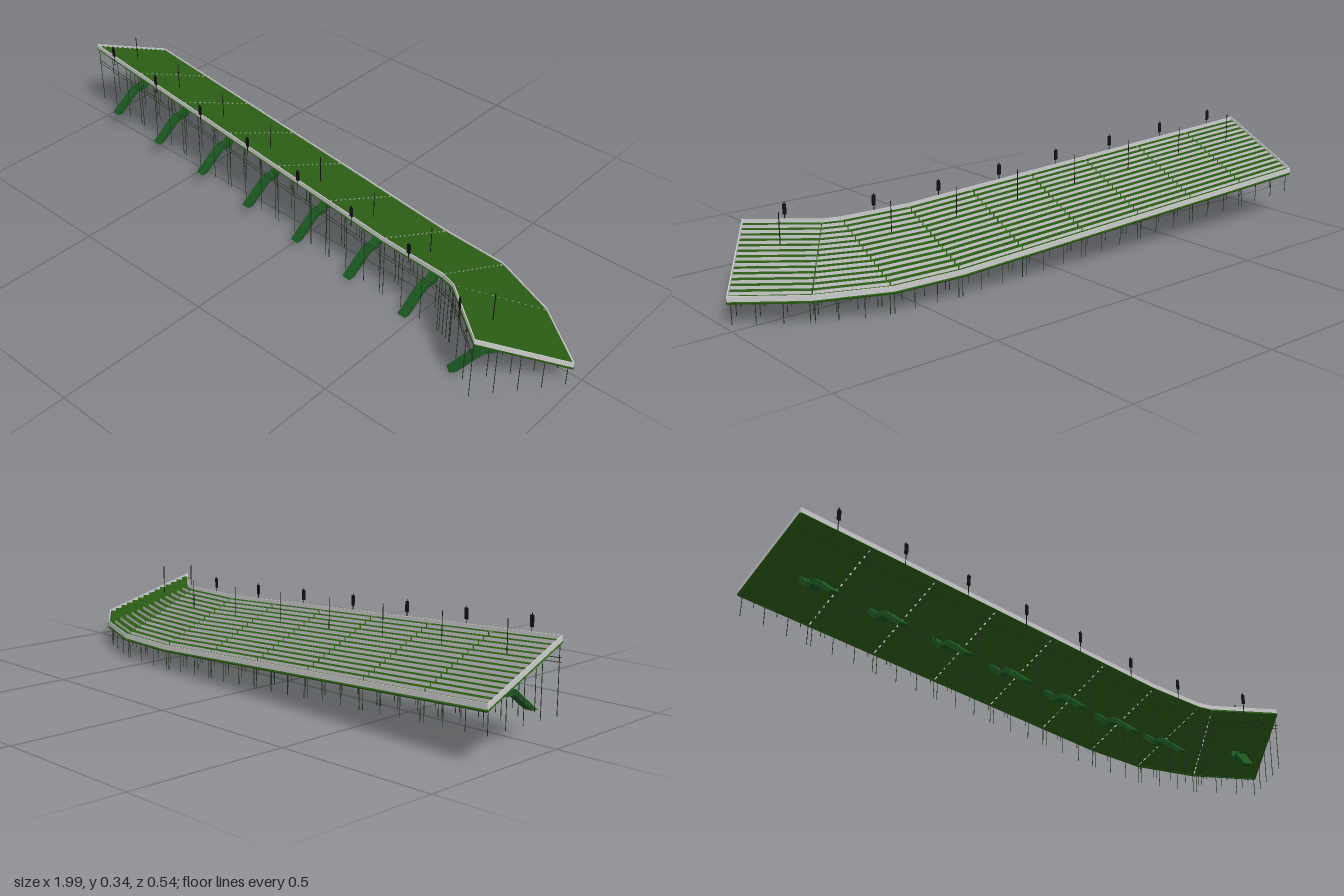
import * as THREE from 'three';

const ROWS = 14, BLOCKS = 7;
const LOW_Y = 0.072, HIGH_Y = 0.203;

const green = new THREE.MeshStandardMaterial({ color: 0x2a5c14, side: THREE.DoubleSide, flatShading: true });
const stairGreen = new THREE.MeshStandardMaterial({ color: 0x1a5520, side: THREE.DoubleSide, flatShading: true });
const grey = new THREE.MeshStandardMaterial({ color: 0xcccccc, side: THREE.DoubleSide, flatShading: true });
const black = new THREE.MeshStandardMaterial({ color: 0x111111 });
const steel = new THREE.MeshStandardMaterial({ color: 0x20301c });

const V = (x, y, z) => new THREE.Vector3(x, y, z);

// Plan of the stand: matching points along its low edge and its high edge
function buildPlan() {
  const low = [], high = [];
  for (let i = 0; i <= BLOCKS; i++) {
    const t = i / BLOCKS, y = 0.084 * Math.max(0, 1 - i / (BLOCKS - 1));
    low.push(V(-0.98, y, -0.272).lerp(V(0.6, y, -0.18), t));
    high.push(V(-0.995, y, 0.012).lerp(V(0.585, y, 0.106), t));
  }
  low.push(V(0.81, 0, -0.096), V(0.988, 0, 0.04));
  high.push(V(0.635, 0, 0.122), V(0.812, 0, 0.265));
  return { low, high };
}

// Mesh made from a list of four-cornered faces
function quads(name, faces, material) {
  const pts = [];
  for (const [a, b, c, d] of faces) pts.push(a, b, c, a, c, d);
  const g = new THREE.BufferGeometry().setFromPoints(pts);
  g.computeVertexNormals();
  const m = new THREE.Mesh(g, material);
  m.name = name;
  return m;
}

// Thin straight bar between two points
function bar(name, a, b, r, material) {
  const m = new THREE.Mesh(new THREE.CylinderGeometry(r, r, a.distanceTo(b), 4), material);
  m.position.copy(a).lerp(b, 0.5);
  m.quaternion.setFromUnitVectors(V(0, 1, 0), b.clone().sub(a).normalize());
  m.name = name;
  return m;
}

// Wall standing between two points, as a thin box
function wall(name, a, b, bottom, top, thick = 0.003) {
  const n = V(b.z - a.z, 0, a.x - b.x).normalize().multiplyScalar(thick / 2);
  const c = (p, s, h) => p.clone().addScaledVector(n, s).add(V(0, h, 0));
  const ring = [[-1, bottom], [1, bottom], [1, top], [-1, top]];
  const A = ring.map(([s, h]) => c(a, s, h)), B = ring.map(([s, h]) => c(b, s, h));
  const faces = [A, B];
  for (let i = 0; i < 4; i++) { const j = (i + 1) % 4; faces.push([A[i], A[j], B[j], B[i]]); }
  return quads(name, faces, grey);
}

// Access stair: lower flight, landing and upper flight, pushed out of a side profile
function stairGeometry() {
  const w = 0.03, t = 0.02;
  const path = [[0.03, 0], [-0.058, 0.07], [-0.09, 0.07], [-0.135, 0.108]];
  const s = new THREE.Shape();
  s.moveTo(...path[0]);
  path.slice(1).forEach(p => s.lineTo(...p));
  [[-0.135, 0.088], [-0.098, 0.056], [-0.064, 0.056]].forEach(p => s.lineTo(...p));
  s.lineTo(0.03 - t, 0);
  const g = new THREE.ExtrudeGeometry(s, { depth: w, bevelEnabled: false });
  g.rotateY(-Math.PI / 2);
  g.translate(w / 2, 0, 0);
  return g;
}

export function createModel() {
  const model = new THREE.Group();
  model.name = 'grandstand';
  const { low, high } = buildPlan();
  const stairs = stairGeometry();

  for (let i = 0; i < low.length - 1; i++) {
    const block = new THREE.Group();
    block.name = 'seatingBlock' + (i + 1);
    model.add(block);
    // Point on the block: u along the rows, v from low to high edge, h above ground
    const at = (u, v, h) => {
      const a = low[i].clone().lerp(low[i + 1], u);
      return a.lerp(high[i].clone().lerp(high[i + 1], u), v).add(V(0, h, 0));
    };
    const u0 = 0.01, u1 = 0.99;
    const across = (v0, h0, v1, h1) => [at(u0, v0, h0), at(u0, v1, h1), at(u1, v1, h1), at(u1, v0, h0)];

    // Stepped rows: green treads, grey risers, green underside
    const treads = [], risers = [], rise = (HIGH_Y - LOW_Y) / ROWS;
    for (let r = 0; r < ROWS; r++) {
      const v0 = r / ROWS, v1 = (r + 1) / ROWS, h = LOW_Y + (r + 1) * rise;
      treads.push(across(v0, h, v1, h));
      risers.push(across(v0, h - rise, v0, h));
    }
    block.add(quads('treads', treads, green), quads('risers', risers, grey));
    block.add(quads('underside', [across(0, LOW_Y - 0.008, 1, HIGH_Y - 0.008)], green));

    // Low and high parapets with a green edge beam below
    block.add(wall('lowParapet', at(0, 0, 0), at(1, 0, 0), LOW_Y - 0.002, LOW_Y + 0.014));
    block.add(wall('highParapet', at(0, 1, 0), at(1, 1, 0), HIGH_Y - 0.004, HIGH_Y + 0.011));
    for (const [v, h] of [[0, LOW_Y], [1, HIGH_Y]]) {
      block.add(bar('edgeBeam', at(0, v, h - 0.006), at(1, v, h - 0.006), 0.004, green));
    }

    // Support posts down to the ground
    for (const u of [0.03, 0.35, 0.68, 0.97]) {
      for (const v of [0.04, 0.28, 0.52, 0.76, 1]) {
        const top = LOW_Y + (HIGH_Y - LOW_Y) * v - 0.006;
        block.add(bar('supportPost', at(u, v, 0), at(u, v, top), 0.0012, steel));
      }
    }
    // Twin rails along the posts below the high edge
    for (const h of [0.143, 0.155]) {
      block.add(bar('rail', at(0, 1, h), at(1, 1, h), 0.001, steel));
    }

    if (i === BLOCKS) continue; // the short wedge at the bend has no entrance
    // Entrance: stair and lamp masts, turned to face out of the high edge
    const entrance = new THREE.Group();
    entrance.name = 'entrance';
    entrance.position.copy(at(0.48, 1, 0));
    const e = high[i + 1].clone().sub(high[i]);
    entrance.rotation.y = -Math.atan2(e.z, e.x);
    const stair = new THREE.Mesh(stairs, stairGreen);
    stair.name = 'stair';
    const lamp = new THREE.Mesh(new THREE.BoxGeometry(0.011, 0.032, 0.004), black);
    lamp.name = 'lampPanel';
    lamp.position.set(0, 0.24, 0.012);
    entrance.add(stair, lamp);
    entrance.add(bar('highMast', V(0, 0.19, 0.012), V(0, 0.262, 0.012), 0.0014, black));
    entrance.add(bar('innerMast', V(0, 0.165, -0.085), V(0, 0.26, -0.085), 0.0014, black));
    block.add(entrance);
  }

  // Sloping walls closing both ends
  const last = low.length - 1;
  for (const i of [0, last]) {
    const a = low[i].clone().add(V(0, LOW_Y, 0)), b = high[i].clone().add(V(0, HIGH_Y, 0));
    model.add(wall('endWall', a, b, -0.004, 0.013));
    model.add(bar('endBeam', a.clone().add(V(0, -0.006, 0)), b.clone().add(V(0, -0.006, 0)), 0.004, green));
  }
  return model;
}
